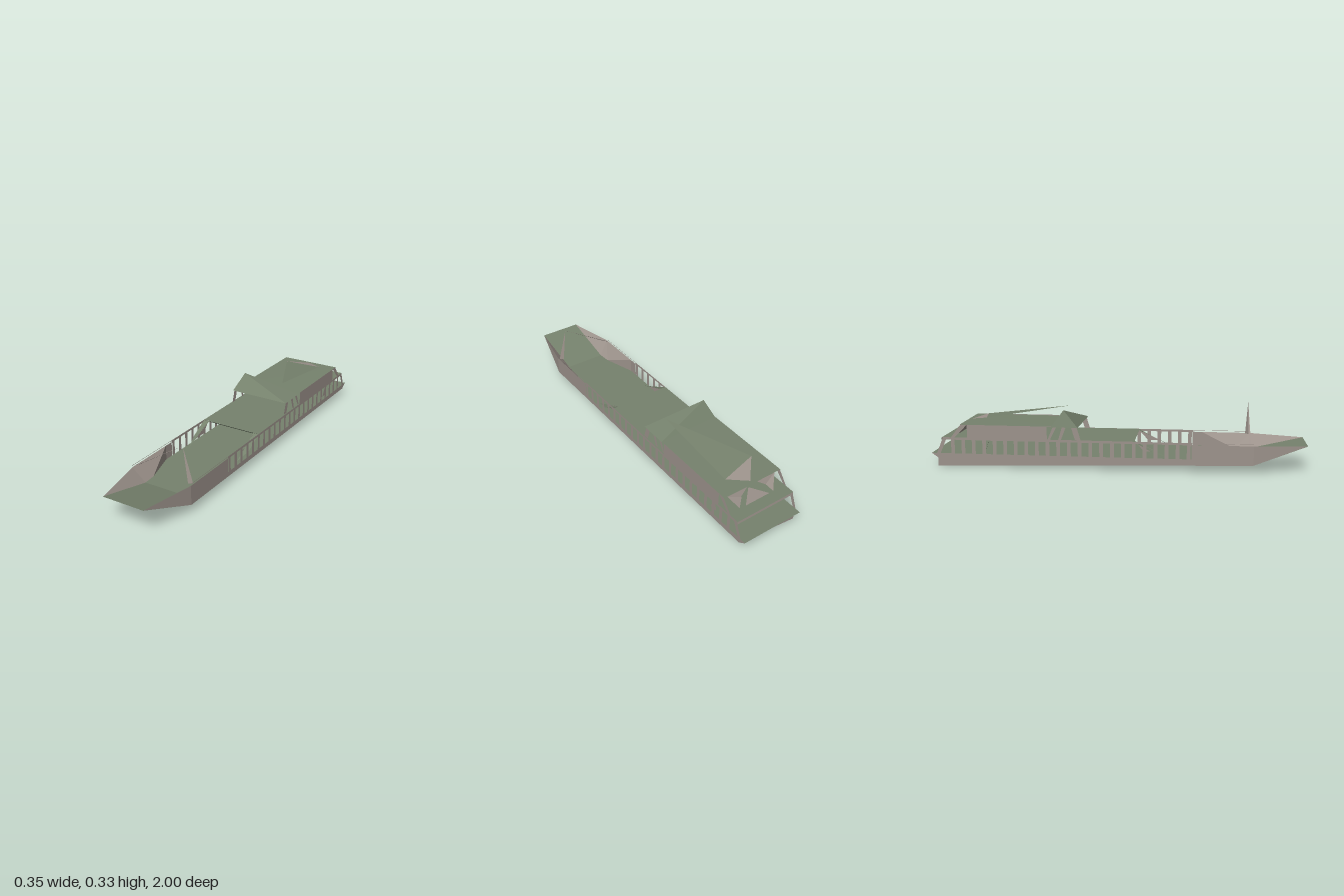
import * as THREE from 'three';

const green = new THREE.MeshStandardMaterial({ color: 0x76826d, flatShading: true, side: THREE.DoubleSide });
green.name = 'deckGreen';
const taupe = new THREE.MeshStandardMaterial({ color: 0x9d938c, flatShading: true, side: THREE.DoubleSide });
taupe.name = 'wallTaupe';

const W = 0.173; // half beam

export function createModel() {
  const boat = new THREE.Group();
  boat.name = 'riverBoat';

  // flat convex panel, fanned from its first corner
  const panel = (name, mat, ...pts) => {
    const pos = [];
    for (let i = 1; i < pts.length - 1; i++) pos.push(...pts[0], ...pts[i], ...pts[i + 1]);
    const g = new THREE.BufferGeometry();
    g.setAttribute('position', new THREE.Float32BufferAttribute(pos, 3));
    g.computeVertexNormals();
    const m = new THREE.Mesh(g, mat);
    m.name = name;
    boat.add(m);
    return m;
  };
  // strip of side wall in the plane x, from z/y corner pairs
  const side = (name, mat, x, ...zy) => panel(name, mat, ...zy.map(([z, y]) => [x, y, z]));

  // hull bottom, deeper on one side at the stern
  const bl = [-W, 0.0, -0.965], br = [W, 0.043, -0.965];
  const fl = [-W, 0.045, 0.72], fr = [W, 0.045, 0.72];
  panel('hullBottom', green, bl, fl, fr);
  panel('hullBottom', green, bl, fr, br);
  panel('bowBottom', green, fl, [-0.115, 0.141, 1], [0.115, 0.141, 1], fr);
  panel('transom', taupe, bl, br, [W, 0.045, -0.965], [-W, 0.045, -0.965]);
  panel('sternOverhang', green, [-W, 0.045, -0.965], [W, 0.045, -0.965], [W, 0.07, -1], [-W, 0.07, -1]);

  // lower deck and rising foredeck
  panel('lowerDeck', green, [-W, 0.07, -1], [W, 0.07, -1], [W, 0.07, 0.45], [-W, 0.07, 0.45]);
  panel('lowerDeckFront', green, [-W, 0.07, 0.45], [W, 0.07, 0.45], [0.118, 0.07, 0.63],
    [0.113, 0.07, 0.7], [-0.113, 0.07, 0.7], [-0.118, 0.07, 0.63]);
  panel('foredeck', green, [-0.113, 0.07, 0.7], [0.113, 0.07, 0.7], [0.115, 0.142, 1], [-0.115, 0.142, 1]);

  for (const s of [-1, 1]) {
    const x = s * W;
    const sternY = s < 0 ? 0 : 0.043;
    // hull sides and bow flare
    side('hullSide', taupe, x, [0.72, 0.045], [0.4, 0.07], [-1, 0.07], [-0.965, 0.045], [-0.965, sternY]);
    side('bulwark', taupe, x, [0.72, 0.045], [0.72, 0.147], [0.4, 0.147], [0.4, 0.07]);
    panel('bowFlare', taupe, [x, 0.045, 0.72], [s * 0.115, 0.142, 1], [x, 0.147, 0.72]);
    // inner lining of the bulwark
    panel('bulwarkLining', taupe, [x, 0.147, 0.45], [x, 0.07, 0.45], [s * 0.118, 0.07, 0.63]);
    panel('bulwarkLining', taupe, [x, 0.147, 0.45], [s * 0.118, 0.07, 0.63], [x, 0.147, 0.72]);
    panel('bulwarkLining', taupe, [s * 0.118, 0.07, 0.63], [s * 0.113, 0.07, 0.7], [x, 0.147, 0.72]);
    panel('bulwarkLining', taupe, [s * 0.113, 0.07, 0.7], [s * 0.115, 0.142, 1], [x, 0.147, 0.72]);

    // window posts, rail band and stern post
    for (let i = 0; i < 23; i++) {
      const z = 0.395 - i * 0.0575;
      side('windowPost', taupe, x, [z, 0.07], [z, 0.147], [z - 0.02, 0.147], [z - 0.02, 0.07]);
    }
    side('railBand', taupe, x, [0.4, 0.145], [0.4, 0.157], [-0.935, 0.158], [-0.94, 0.145]);
    side('foreRail', taupe, x, [0.72, 0.155], [0.72, 0.157], [0.4, 0.157], [0.4, 0.155]);
    side('sternPost', taupe, x, [-0.915, 0.15], [-0.937, 0.15], [-0.97, 0.07], [-0.95, 0.07]);

    // stairs to the upper deck
    panel('stair', green, [s * 0.14, 0.155, 0.1], [x, 0.155, 0.1], [x, 0.1, 0.2], [s * 0.15, 0.07, 0.28]);
    side('stairCheek', taupe, s * 0.145, [0.1, 0.155], [0.15, 0.1], [0.22, 0.1]);

    // wheelhouse posts
    side('wheelhousePost', taupe, x * 0.97, [-0.185, 0.157], [-0.205, 0.223], [-0.235, 0.223], [-0.215, 0.157]);
    side('wheelhousePost', taupe, x * 0.97, [-0.29, 0.157], [-0.265, 0.223], [-0.285, 0.223], [-0.305, 0.157]);
    side('wheelhousePost', taupe, x * 0.97, [-0.35, 0.157], [-0.315, 0.223], [-0.335, 0.223], [-0.362, 0.157]);

    // cabin wall with raked aft post
    side('cabinWall', taupe, x, [-0.365, 0.157], [-0.365, 0.228], [-0.8, 0.228], [-0.8, 0.157]);
    side('cabinAftPost', taupe, x, [-0.8, 0.228], [-0.835, 0.228], [-0.89, 0.157], [-0.87, 0.157]);
  }

  // upper deck with lips at both ends
  panel('upperDeck', green, [-W, 0.157, 0.1], [W, 0.157, 0.1], [W, 0.157, -0.94], [-W, 0.157, -0.94]);
  panel('upperDeckFrontLip', green, [-W, 0.156, 0.1], [W, 0.156, 0.1], [0.13, 0.144, 0.085], [-0.13, 0.144, 0.085]);
  panel('upperDeckAftLip', taupe, [-W, 0.157, -0.94], [W, 0.157, -0.94], [W, 0.145, -0.942], [-W, 0.145, -0.942]);

  // cabin roof, aft folded panes
  panel('cabinRoof', green, [-W, 0.228, -0.345], [W, 0.224, -0.345], [W, 0.228, -0.84], [-W, 0.228, -0.84]);
  panel('aftPane', taupe, [-0.14, 0.222, -0.835], [-0.075, 0.19, -0.85], [-0.1, 0.157, -0.88]);
  panel('aftPane', taupe, [-0.14, 0.222, -0.835], [-0.03, 0.222, -0.835], [-0.075, 0.19, -0.85]);
  panel('aftPane', taupe, [-0.075, 0.157, -0.88], [0.072, 0.157, -0.88], [0.028, 0.22, -0.84]);
  panel('aftPane', taupe, [0.03, 0.22, -0.835], [0.15, 0.222, -0.835], [0.085, 0.187, -0.85]);
  panel('aftPane', taupe, [0.15, 0.222, -0.835], [0.11, 0.16, -0.88], [0.075, 0.19, -0.85]);

  // wheelhouse roof: skewed pyramid over four eaves corners
  const apex = [-0.142, 0.312, -0.28];
  const eaves = [[-W, 0.224, -0.2], [W, 0.224, -0.195], [W, 0.224, -0.345], [-W, 0.224, -0.345]];
  eaves.forEach((c, i) => panel('wheelhouseRoof', green, apex, c, eaves[(i + 1) % 4]));
  panel('wheelhouseCeiling', green, ...eaves);

  // slanted awning above the cabin
  panel('awning', green, [0.1, 0.297, -0.285], [0.1, 0.243, -0.755], [-0.1, 0.256, -0.71]);
  panel('awningStay', taupe, [0.1, 0.243, -0.755], [-0.1, 0.256, -0.71], [0.0, 0.23, -0.82]);
  // partition inside the lower saloon
  panel('saloonPartition', green, [-0.1, 0.07, -0.72], [0.1, 0.07, -0.765], [0.1, 0.13, -0.75]);
  panel('saloonPartition', taupe, [0.15, 0.07, -0.72], [0.15, 0.07, -0.765], [0.15, 0.13, -0.75]);

  // leaning mast with a long stay across the bow
  const top = [0.12, 0.33, 0.7];
  const foot = (name, a, b, c) => [[a, b], [b, c], [c, a]].forEach(([p, q]) => panel(name, taupe, top, p, q));
  foot('mast', [0.15, 0.147, 0.71], [0.172, 0.15, 0.7], [0.15, 0.147, 0.69]);
  foot('mastStay', [-0.172, 0.147, 0.705], [-0.14, 0.165, 0.7], [-0.172, 0.15, 0.692]);

  return boat;
}
